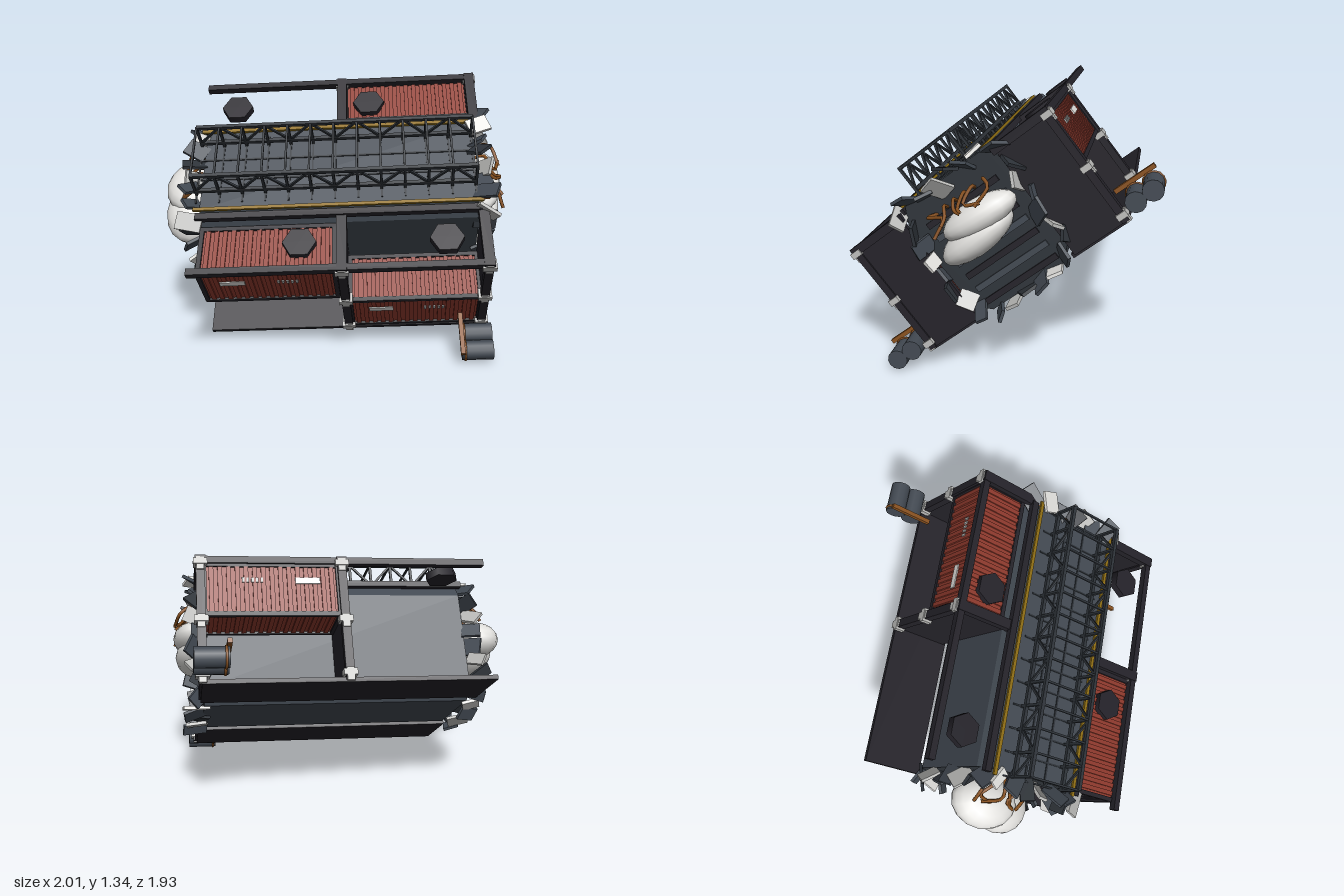
import * as THREE from 'three';

const flat = (name, color) => {
  const m = new THREE.MeshStandardMaterial({ color });
  m.name = name;
  return m;
};

export function createModel() {
  const slate = flat('slate hull', 0x434a53), dark = flat('dark frame', 0x25232a),
    truss = flat('truss grey', 0x2f343a), red = flat('container red', 0x8f3a2d),
    yellow = flat('deck yellow', 0x8f6e14), rust = flat('rust orange', 0x8a5220),
    grey = flat('fitting grey', 0xbdbdbb), white = flat('tank white', 0xe4e3e0);

  const model = new THREE.Group();
  model.name = 'wreckedCargoSection';
  // Everything is built upright in "ship", which is tilted at the end
  const ship = new THREE.Group();
  ship.name = 'ship';
  model.add(ship);

  let seed = 7;
  const rnd = () => (seed = (seed * 16807) % 2147483647) / 2147483647;
  const span = (a, b) => a + (b - a) * rnd();

  const add = (name, geo, mat, x = 0, y = 0, z = 0, parent = ship) => {
    const m = new THREE.Mesh(geo, mat);
    m.name = name;
    m.position.set(x, y, z);
    parent.add(m);
    return m;
  };
  const box = (name, mat, w, h, d, x, y, z, parent) =>
    add(name, new THREE.BoxGeometry(w, h, d), mat, x, y, z, parent);
  const beam = (name, mat, a, b, t) => {
    const p = new THREE.Vector3(...a), q = new THREE.Vector3(...b);
    const m = box(name, mat, t, t, p.distanceTo(q), 0, 0, 0);
    m.position.copy(p).lerp(q, 0.5);
    m.lookAt(q);
    return m;
  };

  const BACK = -0.75, FRONT = 0.647, MID = -0.03, TOP = 0.32, FLOOR = -0.28, OUT = 0.57;

  // Hull: chamfered section extruded along the ship
  const section = [[-0.21, -0.29], [0.21, -0.29], [0.285, -0.22], [0.285, 0.27],
    [0.24, 0.35], [-0.24, 0.35], [-0.285, 0.27], [-0.285, -0.22]].map(p => new THREE.Vector2(...p));
  const hullGeo = new THREE.ExtrudeGeometry(new THREE.Shape(section), { depth: 1.35, bevelEnabled: false });
  add('hull', hullGeo, [truss, slate], 0, 0, BACK + 0.03);

  // Torn end faces: bulkhead slats
  for (const end of [BACK + 0.03, FRONT - 0.017])
    for (let i = 0; i < 7; i++)
      box('bulkheadSlat', i % 2 ? slate : dark, 0.42, 0.03, 0.02, 0, -0.24 + i * 0.075, end);

  // Deck edge beams and yellow lines
  for (const s of [-1, 1]) {
    box('deckEdgeBeam', dark, 0.035, 0.03, 1.38, s * 0.272, 0.335, -0.05);
    box('yellowLine', yellow, 0.018, 0.012, 1.4, s * 0.24, 0.358, -0.05);
  }

  // Deck truss: two lattice sides joined by rungs over a panelled deck
  const bays = 12, z0 = -0.74, step = 1.36 / bays, half = 0.148, low = 0.385, high = 0.505;
  for (const s of [-1, 1]) {
    const x = s * half;
    for (const y of [low, high]) beam('trussChord', truss, [x, y, z0], [x, y, z0 + 1.36], 0.018);
    box('deckSeam', truss, 0.01, 0.006, 1.36, s * 0.06, 0.352, -0.05);
    for (let i = 0; i <= bays; i++) {
      const z = z0 + i * step;
      beam('trussPost', truss, [x, 0.35, z], [x, high, z], 0.013);
      if (i < bays) {
        const up = i % 2;
        beam('trussBrace', truss, [x, up ? high : low, z], [x, up ? low : high, z + step], 0.011);
      }
    }
  }
  for (let i = 0; i <= bays; i++) {
    const z = z0 + i * step;
    beam('trussRung', truss, [-half, high, z], [half, high, z], 0.01);
    box('deckSeam', truss, 0.4, 0.006, 0.008, 0, 0.352, z);
  }

  // Side bays: floor, rail, bulkheads, frames, corner fittings, hatches, drums
  for (const s of [-1, 1]) {
    box('bayFloor', dark, 0.31, 0.022, 1.4, s * 0.425, FLOOR, -0.05);
    box('topRail', dark, 0.034, 0.034, 1.41, s * OUT, TOP, -0.05);
    for (const z of [MID, FRONT]) {
      box('bulkhead', dark, 0.29, 0.6, 0.025, s * 0.43, 0.02, z);
      box('bulkheadBeam', dark, 0.32, 0.042, 0.05, s * 0.43, TOP, z);
      box('bulkheadPost', dark, 0.036, 0.6, 0.042, s * OUT, 0.02, z);
      for (const y of [TOP - 0.012, 0.02, FLOOR + 0.035]) {
        box('cornerFitting', grey, 0.052, 0.03, 0.066, s * (OUT + 0.002), y, z);
        box('cornerFitting', grey, 0.026, 0.064, 0.036, s * (OUT + 0.012), y - 0.01, z);
      }
    }
    const first = s > 0 ? -0.585 : -0.23;
    for (const z of [first, first + 0.695])
      add('hexHatch', new THREE.CylinderGeometry(0.081, 0.081, 0.04, 6), dark, s * 0.425, 0.312, z);

    // Fuel drums strapped outside the front corner
    for (const x of [0.66, 0.752]) {
      const drum = add('drum', new THREE.CylinderGeometry(0.049, 0.049, 0.155, 12), slate, s * x, -0.225, 0.612);
      drum.rotation.x = Math.PI / 2;
      add('drumStrap', new THREE.TorusGeometry(0.049, 0.006, 5, 14), rust, s * x, -0.225, 0.55);
    }
    box('drumBracket', rust, 0.22, 0.022, 0.022, s * 0.69, -0.165, 0.535);
  }

  // Ribbed cargo containers
  const container = (x, y, z) => {
    const g = new THREE.Group(), w = 0.24, h = 0.25, d = 0.64, side = Math.sign(x);
    g.name = 'container';
    g.position.set(x, y, z);
    ship.add(g);
    box('containerBody', red, w, h, d, 0, 0, 0, g);
    for (let i = 0; i < 15; i++)
      box('containerRib', red, w + 0.016, h + 0.016, 0.022, 0, 0, -0.287 + i * 0.041, g);
    for (const a of [-1, 1]) {
      for (const b of [-1, 1]) {
        box('containerEdge', dark, 0.022, 0.022, d + 0.02, a * w / 2, b * h / 2, 0, g);
        box('containerEdge', dark, 0.022, h, 0.022, a * w / 2, 0, b * d / 2, g);
        box('containerEdge', dark, w, 0.022, 0.022, 0, a * h / 2, b * d / 2, g);
      }
      for (let i = -1; i <= 1; i++)
        box('doorBar', dark, 0.012, h, 0.012, i * 0.055, 0, a * (d / 2 + 0.003), g);
    }
    box('containerLabel', white, 0.006, 0.032, 0.12, side * (w / 2 + 0.01), 0.042, -0.17, g);
    for (let i = 0; i < 5; i++)
      box('containerMark', grey, 0.006, 0.024, 0.012, side * (w / 2 + 0.01), 0.045, 0.05 + i * 0.022, g);
  };
  container(-0.445, 0.175, -0.385);
  container(-0.445, -0.135, 0.31);
  container(0.445, 0.175, 0.31);

  // Exposed white tanks at both ends
  const tank = (x, y, z, a, b, c, roll) => {
    const t = add('tank', new THREE.SphereGeometry(1, 16, 10), white, x, y, z);
    t.scale.set(a, b, c);
    t.rotation.z = roll;
  };
  tank(-0.035, 0.045, 0.645, 0.21, 0.085, 0.12, 0.05);
  tank(0.04, 0.12, 0.665, 0.2, 0.08, 0.11, -0.08);
  tank(0.085, 0.085, -0.84, 0.17, 0.1, 0.14, -0.2);
  tank(-0.045, 0.035, -0.84, 0.17, 0.1, 0.14, 0.1);

  // Bent rusty pipes
  for (const [end, dir, shift] of [[FRONT - 0.03, 1, 0.03], [BACK + 0.04, -1, 0.09]])
    for (let i = 0; i < 6; i++) {
      const x = shift - 0.16 + i * 0.055;
      const path = new THREE.CatmullRomCurve3([
        new THREE.Vector3(x, 0.23, end),
        new THREE.Vector3(x + span(-0.03, 0.03), 0.25, end + dir * 0.07),
        new THREE.Vector3(x + span(-0.06, 0.06), 0.21, end + dir * 0.12),
        new THREE.Vector3(x + span(-0.08, 0.08), span(0.15, 0.2), end + dir * 0.15)]);
      add('bentPipe', new THREE.TubeGeometry(path, 10, 0.009, 5), rust);
    }

  // Torn plating fanned around each end
  const shades = [slate, grey, truss, slate, white, slate, truss, grey, slate];
  let count = 0;
  for (const [end, dir] of [[FRONT, 1], [BACK, -1]])
    section.forEach((p, k) => {
      const q = section[(k + 1) % section.length], len = p.distanceTo(q), n = Math.max(1, Math.round(len / 0.08));
      const angle = Math.atan2(q.y - p.y, q.x - p.x);
      for (let i = 0; i < n; i++) {
        const c = p.clone().lerp(q, (i + 0.5) / n);
        const holder = new THREE.Group();
        holder.name = 'tornPlate';
        holder.position.set(c.x, c.y, end - dir * 0.03);
        holder.rotation.z = angle;
        ship.add(holder);
        const d = span(0.08, 0.13);
        const plate = box('plate', shades[count++ % shades.length],
          span(0.06, 0.1), 0.016, d, 0, span(-0.04, 0.02), dir * d * 0.4, holder);
        plate.rotation.set(dir * span(-0.3, 1.0), span(-0.6, 0.6), span(-0.7, 0.7));
      }
    });

  // Resting attitude: across, up and along axes of the ship
  const along = new THREE.Vector3(0.58, 0.05, 0.812).normalize();
  const up = along.clone().cross(new THREE.Vector3(0.621, 0.619, -0.481)).normalize();
  const across = up.clone().cross(along);
  ship.quaternion.setFromRotationMatrix(new THREE.Matrix4().makeBasis(across, up, along));
  ship.position.set(-0.02, 0.672, 0.022);
  return model;
}
